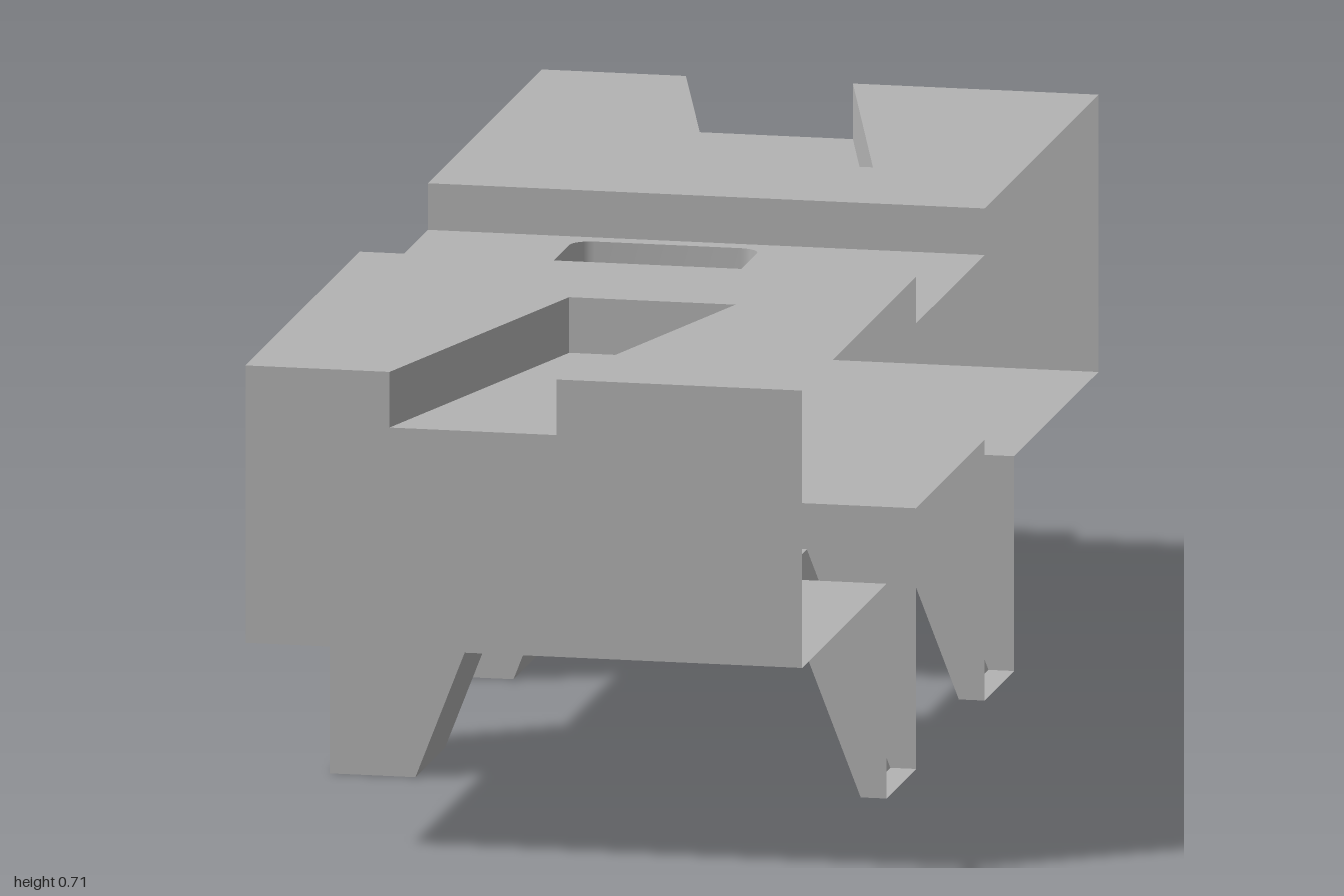
import * as THREE from 'three';
import { toCreasedNormals } from 'three/addons/utils/BufferGeometryUtils.js';

const W = 0.4, END = 1, STEP = 0.231;              // half width, half length, edge of the low middle
const BOTTOM = 0.309, TOP = 0.708, SLOT_Y = 0.628; // end block heights
const MID_BOTTOM = 0.375, MID_TOP = 0.641;
const LEG_END = 0.431;

export function createModel() {
  const model = new THREE.Group();
  const grey = new THREE.MeshStandardMaterial({ color: 0xb3b3b3, side: THREE.DoubleSide });
  grey.name = 'plain grey';

  const add = (name, geometry) => {
    const mesh = new THREE.Mesh(geometry, grey);
    mesh.name = name;
    model.add(mesh);
  };
  const toShape = (pts) => new THREE.Shape(pts.map(([a, b]) => new THREE.Vector2(a, b)));

  // Horizontal sheet from [x, z] points, dir +1 faces up, -1 faces down
  const plate = (name, pts, y, dir, hole) => {
    const flip = ([x, z]) => [x, -dir * z];
    const shape = toShape(pts.map(flip));
    if (hole) shape.holes.push(toShape(hole.map(flip)));
    add(name, new THREE.ShapeGeometry(shape).rotateX(-dir * Math.PI / 2).translate(0, y, 0));
  };

  // Vertical sheet from [x, y] points, facing +z or -z
  const panel = (name, pts, z, dir) => {
    const g = new THREE.ShapeGeometry(toShape(pts.map(([x, y]) => [x * dir, y])));
    if (dir < 0) g.rotateY(Math.PI);
    add(name, g.translate(0, 0, z));
  };

  // Strip of quads between a lower and an upper path of [x, y, z] points
  const strip = (name, low, high) => {
    const pos = [];
    for (let i = 0; i < low.length - 1; i++) {
      const [a, b, c, d] = [low[i], low[i + 1], high[i + 1], high[i]];
      pos.push(...a, ...b, ...c, ...a, ...c, ...d);
    }
    const g = new THREE.BufferGeometry();
    g.setAttribute('position', new THREE.Float32BufferAttribute(pos, 3));
    g.computeVertexNormals();
    add(name, toCreasedNormals(g, 0.6));
  };
  const wall = (name, path, y0, y1) =>
    strip(name, path.map(([x, z]) => [x, y0, z]), path.map(([x, z]) => [x, y1, z]));

  // Low middle with a rounded window
  const r = 0.03, x0 = -0.185, x1 = 0.085, zh = 0.204;
  const hole = [];
  [[x1 - r, zh - r], [x0 + r, zh - r], [x0 + r, r - zh], [x1 - r, r - zh]].forEach(([cx, cz], q) => {
    for (let i = 0; i <= 6; i++) {
      const a = (q + i / 6) * Math.PI / 2;
      hole.push([cx + r * Math.cos(a), cz + r * Math.sin(a)]);
    }
  });
  const middle = [[-W, -STEP], [W, -STEP], [W, STEP], [-W, STEP]];
  plate('middleTop', middle, MID_TOP, 1, hole);
  plate('middleBottom', middle, MID_BOTTOM, -1, hole);
  wall('windowWall', [...hole, hole[0]], MID_BOTTOM, MID_TOP);

  // Legs: outer x, inner x at the top, inner x at the foot
  const legs = [[-W, -0.157, -0.277], [W, 0.243, 0.363]];
  const slot = [[-0.193, END], [-0.049, 0.464], [0.19, 0.464], [0.047, END]];

  // End blocks, mirrored front to back; their long sides are open
  for (const s of [1, -1]) {
    const end = s > 0 ? 'front' : 'back';
    const m = (pts) => pts.map(([x, z]) => [x, z * s]);
    const run = (pts) => (s > 0 ? m(pts) : m(pts).reverse());

    plate(end + 'Top', m([[-W, STEP], [W, STEP], [W, END], ...[...slot].reverse(), [-W, END]]), TOP, 1);
    plate(end + 'SlotFloor', m(slot), SLOT_Y, 1);
    wall(end + 'SlotWalls', run(slot), SLOT_Y, TOP);
    plate(end + 'Bottom', m([
      [legs[0][1], STEP], [legs[1][1], STEP], [legs[1][1], LEG_END], [W, LEG_END],
      [W, END], [-W, END], [-W, LEG_END], [legs[0][1], LEG_END],
    ]), BOTTOM, -1);
    panel(end + 'EndPanel', [
      [-W, BOTTOM], [W, BOTTOM], [W, TOP], [slot[3][0], TOP],
      [slot[3][0], SLOT_Y], [slot[0][0], SLOT_Y], [slot[0][0], TOP], [-W, TOP],
    ], END * s, s);
    wall(end + 'UpperStep', run([[W, STEP], [-W, STEP]]), MID_TOP, TOP);
    wall(end + 'LowerStep', run([[W, STEP], [-W, STEP]]), BOTTOM, MID_BOTTOM);

    // Tapered legs, open on the outer side and into the block
    for (const [outer, top, foot] of legs) {
      const name = end + (outer > 0 ? 'LeftLeg' : 'RightLeg');
      const profile = [[outer, 0], [foot, 0], [top, BOTTOM], [outer, BOTTOM]];
      panel(name + 'OuterFace', profile, LEG_END * s, s);
      panel(name + 'InnerFace', profile, STEP * s, -s);
      plate(name + 'Foot', m([[outer, STEP], [foot, STEP], [foot, LEG_END], [outer, LEG_END]]), 0, -1);
      const zs = [STEP * s, LEG_END * s];
      if (outer * s < 0) zs.reverse();
      strip(name + 'Slope', zs.map((z) => [foot, 0, z]), zs.map((z) => [top, BOTTOM, z]));
    }
  }
  return model;
}
